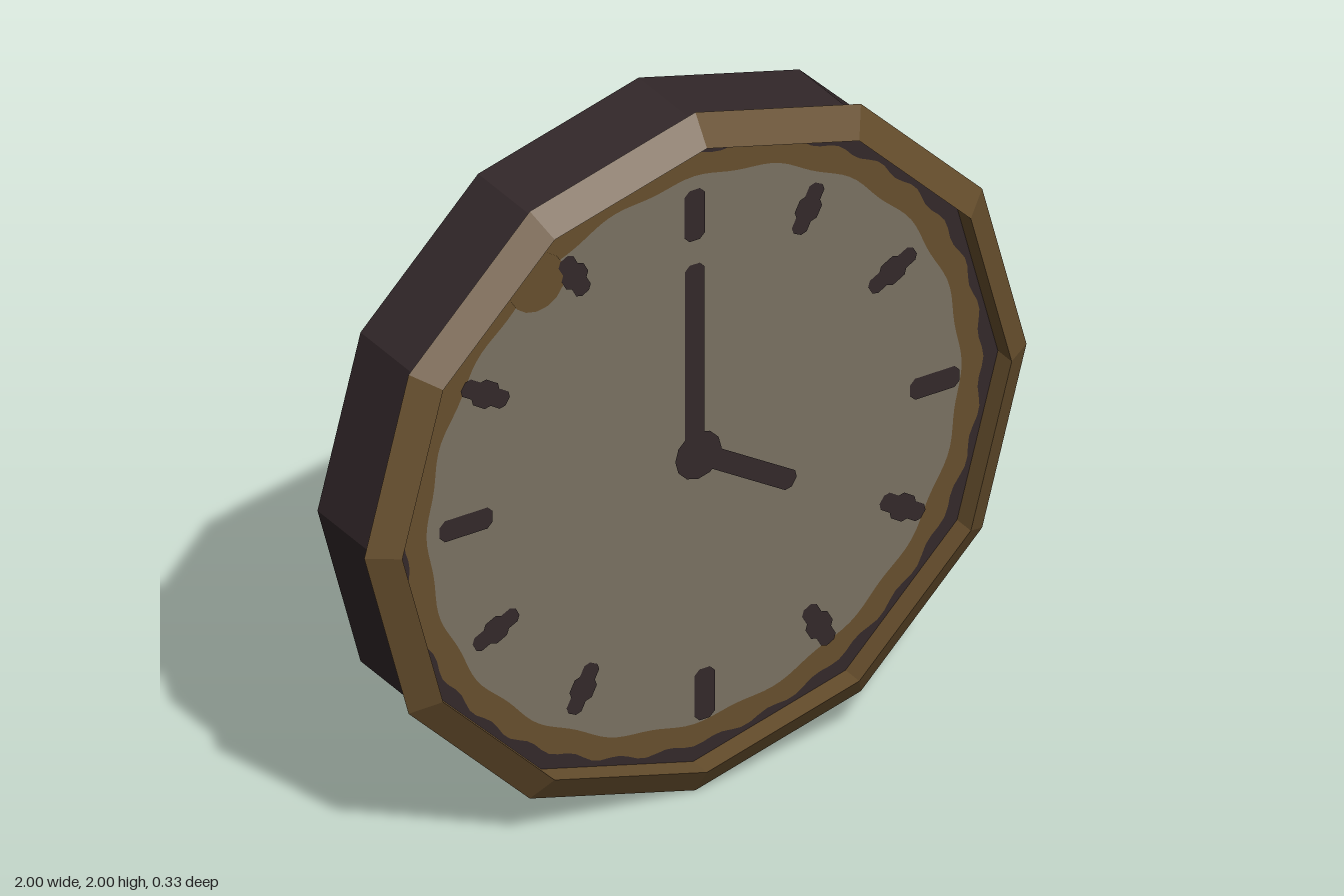
import * as THREE from 'three';

const wood = new THREE.MeshStandardMaterial({ color: 0x33282a });
wood.name = 'darkWood';
const gold = new THREE.MeshStandardMaterial({ color: 0x664e2d });
gold.name = 'agedGold';
const cream = new THREE.MeshStandardMaterial({ color: 0x797161 });
cream.name = 'dialCream';

function add(parent, name, geometry, material, z = 0) {
  const mesh = new THREE.Mesh(geometry, material);
  mesh.name = name;
  mesh.position.z = z;
  parent.add(mesh);
  return mesh;
}

// Faceted copy of a geometry, turned so its axis points to +z
function faceted(geometry) {
  const flat = geometry.toNonIndexed();
  flat.rotateX(Math.PI / 2);
  flat.computeVertexNormals();
  return flat;
}

// Disc with a gently scalloped edge
function scallopedDisc(radius, wave, lobes) {
  const points = [];
  for (let i = 0; i < 192; i++) {
    const a = (i / 192) * Math.PI * 2;
    const r = radius + wave * Math.cos(a * lobes);
    points.push(new THREE.Vector2(r * Math.cos(a), r * Math.sin(a)));
  }
  return new THREE.ShapeGeometry(new THREE.Shape(points));
}

// Flat bar with softened ends from (x1, y1) to (x2, y2)
function bar(x1, y1, x2, y2, width) {
  const h = width / 2, c = h * 0.5;
  const length = Math.hypot(x2 - x1, y2 - y1);
  const outline = [
    [0, -h + c], [c, -h], [length - c, -h], [length, -h + c],
    [length, h - c], [length - c, h], [c, h], [0, h - c],
  ].map(([x, y]) => new THREE.Vector2(x, y));
  const geometry = new THREE.ShapeGeometry(new THREE.Shape(outline));
  geometry.rotateZ(Math.atan2(y2 - y1, x2 - x1));
  geometry.translate(x1, y1, 0);
  return geometry;
}

// Hour marks clockwise from the top: start and end, from the dial centre
const marks = [
  [0, 0.62, 0, 0.77], [0.31, 0.54, 0.375, 0.67], [0.53, 0.305, 0.665, 0.38],
  [0.65, -0.03, 0.8, -0.03], [0.565, -0.325, 0.69, -0.405], [0.34, -0.57, 0.41, -0.695],
  [0.03, -0.65, 0.03, -0.8], [-0.305, -0.53, -0.37, -0.66], [-0.535, -0.305, -0.665, -0.37],
  [-0.61, 0, -0.77, 0], [-0.565, 0.325, -0.7, 0.41], [-0.33, 0.57, -0.395, 0.69],
];

// Dial layers; side = -1 mirrors the layout for the reverse face
function createDial(name, side) {
  const dial = new THREE.Group();
  dial.name = name;
  add(dial, 'dialRing', scallopedDisc(0.868, 0.007, 36), gold, 0.002);
  add(dial, 'dialFace', scallopedDisc(0.802, 0.006, 20), cream, 0.004);
  const patch = new THREE.CircleGeometry(0.085, 16);
  patch.translate(-0.475 * side, 0.645, 0);
  add(dial, 'wornPatch', patch, gold, 0.005);
  marks.forEach(([x1, y1, x2, y2], i) => {
    const straight = i % 3 === 0;
    add(dial, 'hourMark', bar(x1 * side, y1, x2 * side, y2, straight ? 0.062 : 0.05), wood, 0.007);
    if (!straight) {
      // Wider middle of the slanted marks
      const mx = (x1 + x2) / 2, my = (y1 + y2) / 2;
      const dx = (x2 - x1) * 0.25, dy = (y2 - y1) * 0.25;
      add(dial, 'hourMarkMiddle',
        bar((mx - dx) * side, my - dy, (mx + dx) * side, my + dy, 0.075), wood, 0.008);
    }
  });
  add(dial, 'minuteHand', bar(0, 0, 0, 0.55, 0.06), wood, 0.007);
  add(dial, 'hourHand', bar(0.01 * side, -0.01, 0.3 * side, -0.185, 0.058), wood, 0.008);
  const hub = new THREE.CircleGeometry(0.07, 12);
  hub.translate(0.01 * side, -0.015, 0);
  add(dial, 'handHub', hub, wood, 0.009);
  return dial;
}

export function createModel() {
  const clock = new THREE.Group();
  clock.name = 'wallClock';
  clock.position.y = 1;

  // Twelve-sided case, from z = -0.157 to 0.1
  add(clock, 'caseBody', faceted(new THREE.CylinderGeometry(0.97, 0.97, 0.257, 12)), wood, -0.0285);

  // Bevelled rim with an inner wall
  const profile = [[0.95, 0.098], [1, 0.11], [0.92, 0.165], [0.92, 0.098]]
    .map(([r, z]) => new THREE.Vector2(r, z));
  add(clock, 'frontRim', faceted(new THREE.LatheGeometry(profile, 12)), gold);

  const front = createDial('frontDial', 1);
  front.position.z = 0.1;
  const back = createDial('backDial', -1);
  back.position.z = -0.157;
  back.rotation.y = Math.PI;
  clock.add(front, back);

  const model = new THREE.Group();
  model.name = 'clock';
  model.add(clock);
  return model;
}
